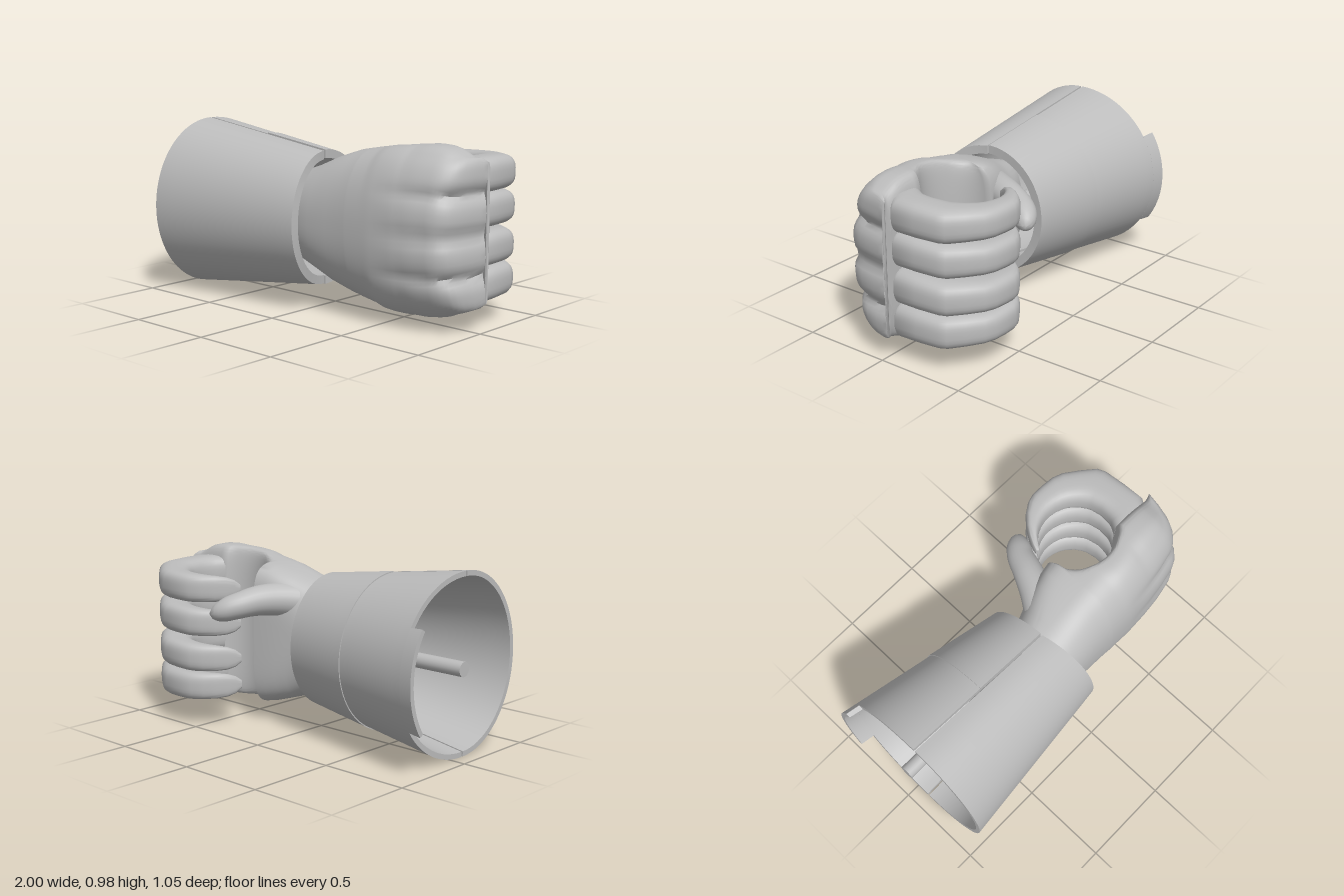
import * as THREE from 'three';
import { toCreasedNormals } from 'three/addons/utils/BufferGeometryUtils.js';

const { lerp, clamp, smoothstep } = THREE.MathUtils;
const HOLE = { x: 0.555, z: -0.18, r: 0.21 };

// Skin closed loops of points (even count) and cap both ends
function loft(loops, crease = 0.7) {
  const n = loops[0].length, last = (loops.length - 1) * n, pos = loops.flat(2), idx = [];
  for (let i = 0; i < last; i += n) {
    for (let j = 0; j < n; j++) {
      const a = i + j, b = i + (j + 1) % n;
      idx.push(a, b, b + n, a, b + n, a + n);
    }
  }
  for (let j = 0; j < n / 2 - 1; j++) {
    const a = j, b = j + 1, c = n - 2 - j, d = n - 1 - j;
    idx.push(b, a, d, b, d, c, last + a, last + b, last + d, last + b, last + c, last + d);
  }
  // Turn the faces outward using the signed volume
  const v = (i) => new THREE.Vector3().fromArray(pos, i * 3);
  let volume = 0;
  for (let i = 0; i < idx.length; i += 3) volume += v(idx[i]).dot(v(idx[i + 1]).cross(v(idx[i + 2])));
  if (volume < 0) idx.reverse();
  const g = new THREE.BufferGeometry();
  g.setAttribute('position', new THREE.Float32BufferAttribute(pos, 3));
  g.setIndex(idx);
  return toCreasedNormals(g, crease);
}

const power = (v, n) => Math.sign(v) * Math.abs(v) ** (2 / n);

// Interpolate rows of a table whose first column is the key
function sample(table, x) {
  let i = 0;
  while (i < table.length - 2 && x > table[i + 1][0]) i++;
  const a = table[i], b = table[i + 1], t = clamp((x - a[0]) / (b[0] - a[0]), 0, 1);
  return a.map((v, k) => lerp(v, b[k], t));
}

// Half of the tapered hollow cuff; side is +1 for the front, -1 for the back
function cuffShell(side, x0, x1, from, to, slant = 0, grow = 0) {
  const loops = [], steps = 40, stations = 8;
  for (let i = 0; i <= stations; i++) {
    const u = i / stations, x = lerp(x0, x1, u);
    const f = (x + 0.92) / 0.92;
    const ry = lerp(0.49, 0.37, f) + grow;
    const rz = (side > 0 ? lerp(0.428, 0.325, f) : lerp(0.515, 0.34, f)) + grow;
    const wall = lerp(0.028, 0.048, f);
    const arc = (inset) => Array.from({ length: steps + 1 }, (_, j) => {
      const a = lerp(from, to, j / steps), s = Math.sin(a);
      return [x + slant * u * s, 0.492 + (ry - inset) * Math.cos(a),
        0.087 + side * (0.006 + (rz - inset) * s)];
    });
    loops.push([...arc(0), ...arc(wall).reverse()]);
  }
  return loft(loops, 0.5);
}

// Palm and knuckles, lofted along x: x, front z, bottom y, top y
function palmGeometry() {
  const outline = [
    [-0.12, 0.27, 0.25, 0.75], [0, 0.3, 0.21, 0.79], [0.14, 0.305, 0.15, 0.85],
    [0.27, 0.306, 0.112, 0.893], [0.345, 0.31, 0.097, 0.907], [0.5, 0.312, 0.068, 0.935],
    [0.65, 0.307, 0.06, 0.952], [0.75, 0.297, 0.062, 0.96], [0.82, 0.283, 0.073, 0.956],
    [0.87, 0.272, 0.085, 0.945], [0.91, 0.252, 0.1, 0.93], [0.945, 0.215, 0.11, 0.915],
    [0.97, 0.15, 0.12, 0.905], [0.988, 0.06, 0.128, 0.9], [1.0, -0.03, 0.15, 0.88],
  ];
  // Inner side: heel, then the round grip, then the finger roots
  const inner = [[-0.12, -0.06], [-0.05, -0.1], [0, -0.12], [0.07, -0.14], [0.14, -0.16],
    [0.2, -0.175], [0.27, -0.19], [0.335, -0.2]];
  for (let a = 0; a <= 145; a += 5) {
    const r = a * Math.PI / 180;
    inner.push([HOLE.x - HOLE.r * Math.cos(r), HOLE.z + HOLE.r * Math.sin(r)]);
  }
  for (const x of [0.76, 0.79, 0.82, 0.845, 0.87, 0.89, 0.91, 0.93, 0.945, 0.96, 0.97, 0.98, 0.988, 0.995, 1])
    inner.push([x, -0.06]);
  const n = 96;
  return loft(inner.map(([x, back]) => {
    const [, front, bottom, top] = sample(outline, x);
    const mid = Math.min(Math.max(0.06, back + 0.06), (front + back) / 2);
    const backPower = lerp(2.4, 5, smoothstep(x, 0, 0.3));
    return Array.from({ length: n }, (_, j) => {
      const t = (j + 0.5) / n * Math.PI * 2, c = Math.cos(t), p = c > 0 ? 2.3 : backPower;
      const y = (top + bottom) / 2 + (top - bottom) / 2 * power(Math.sin(t), p);
      let z = mid + (c > 0 ? front - mid : mid - back) * power(c, p);
      // Grooves between the four knuckles
      const lobe = Math.abs(Math.sin(Math.PI * clamp((y - 0.085) / 0.85 * 4, 0.12, 3.88)));
      const groove = (1 - lobe) ** 1.5;
      if (c > 0) z -= groove * 0.03 * smoothstep(x, 0.45, 0.9) * c;
      return [x - groove * 0.035 * smoothstep(x, 0.85, 0.97), y, z];
    });
  }), 0.9);
}

// One finger curled around the grip hole: outer x, outer z, height scale
function fingerGeometry(y0, y1) {
  const path = [
    [0.85, 0.05, 0.95], [0.93, -0.02, 1], [0.97, -0.07, 1], [0.965, -0.2, 1], [0.953, -0.33, 0.98],
    [0.935, -0.375, 0.96], [0.86, -0.44, 0.92], [0.78, -0.5, 0.88], [0.72, -0.523, 0.86],
    [0.64, -0.53, 0.85], [0.57, -0.53, 0.84], [0.52, -0.515, 0.83], [0.46, -0.475, 0.8],
    [0.41, -0.42, 0.76], [0.375, -0.365, 0.68], [0.355, -0.32, 0.52], [0.345, -0.285, 0.25],
  ];
  const n = 32;
  return loft(path.map(([x, z, scale], i) => {
    const dx = x - HOLE.x, dz = z - HOLE.z, outer = Math.hypot(dx, dz);
    const mid = (outer + HOLE.r) / 2, half = (outer - HOLE.r) / 2;
    const yc = lerp(y0, y1, i / (path.length - 1));
    return Array.from({ length: n }, (_, j) => {
      const t = (j + 0.5) / n * Math.PI * 2;
      const r = (mid + half * power(Math.cos(t), 3)) / outer;
      return [HOLE.x + dx * r, yc + 0.094 * scale * power(Math.sin(t), 3), HOLE.z + dz * r];
    });
  }), 0.9);
}

// Tapered thumb with a rounded tip
function thumbGeometry() {
  const curve = new THREE.CatmullRomCurve3([
    [0.12, 0.7, 0.0], [0.2, 0.72, -0.14], [0.255, 0.72, -0.26], [0.3, 0.7, -0.36],
    [0.36, 0.675, -0.43], [0.405, 0.66, -0.46],
  ].map((p) => new THREE.Vector3(...p)));
  const up = new THREE.Vector3(0, 1, 0), steps = 30, n = 24;
  return loft(Array.from({ length: steps + 1 }, (_, i) => {
    const u = i / steps, p = curve.getPointAt(u);
    const side = curve.getTangentAt(u).cross(up).normalize();
    const tip = Math.sqrt(Math.max(0.02, 1 - Math.max(0, (u - 0.8) / 0.2) ** 2));
    const r = lerp(0.105, 0.062, u) * tip;
    return Array.from({ length: n }, (_, j) => {
      const t = (j + 0.5) / n * Math.PI * 2;
      return p.clone().addScaledVector(side, r * Math.cos(t)).addScaledVector(up, r * Math.sin(t)).toArray();
    });
  }), 0.9);
}

export function createModel() {
  const model = new THREE.Group();
  model.name = 'gauntletFist';
  const grey = new THREE.MeshStandardMaterial({ color: 0xbcbcbc });
  grey.name = 'light grey';
  const add = (parent, name, geometry) => {
    const mesh = new THREE.Mesh(geometry, grey);
    mesh.name = name;
    parent.add(mesh);
    return mesh;
  };

  // Cuff: one front shell, two back panels and a rear tab
  const cuff = new THREE.Group();
  cuff.name = 'cuff';
  add(cuff, 'frontShell', cuffShell(1, -0.92, 0, 0, Math.PI, 0.07));
  add(cuff, 'backRearPanel', cuffShell(-1, -0.92, -0.448, 0, Math.PI));
  add(cuff, 'backWristPanel', cuffShell(-1, -0.448, 0, 0, Math.PI, -0.02, 0.006));
  add(cuff, 'rearTab', cuffShell(-1, -1, -0.92, Math.PI / 2 - 0.57, Math.PI / 2 + 0.57));

  // Connecting rod through the cuff
  const rod = add(cuff, 'rod', new THREE.CylinderGeometry(0.04, 0.04, 0.95, 24));
  rod.rotation.z = Math.PI / 2;
  rod.position.set(-0.495, 0.49, 0.02);

  // Closed hand
  const hand = new THREE.Group();
  hand.name = 'hand';
  add(hand, 'palm', palmGeometry());
  add(hand, 'thumb', thumbGeometry());
  [['indexFinger', 0.8, 0.78], ['middleFinger', 0.62, 0.585], ['ringFinger', 0.415, 0.385],
    ['littleFinger', 0.22, 0.235]].forEach(([name, y0, y1]) => add(hand, name, fingerGeometry(y0, y1)));

  model.add(cuff, hand);
  return model;
}
